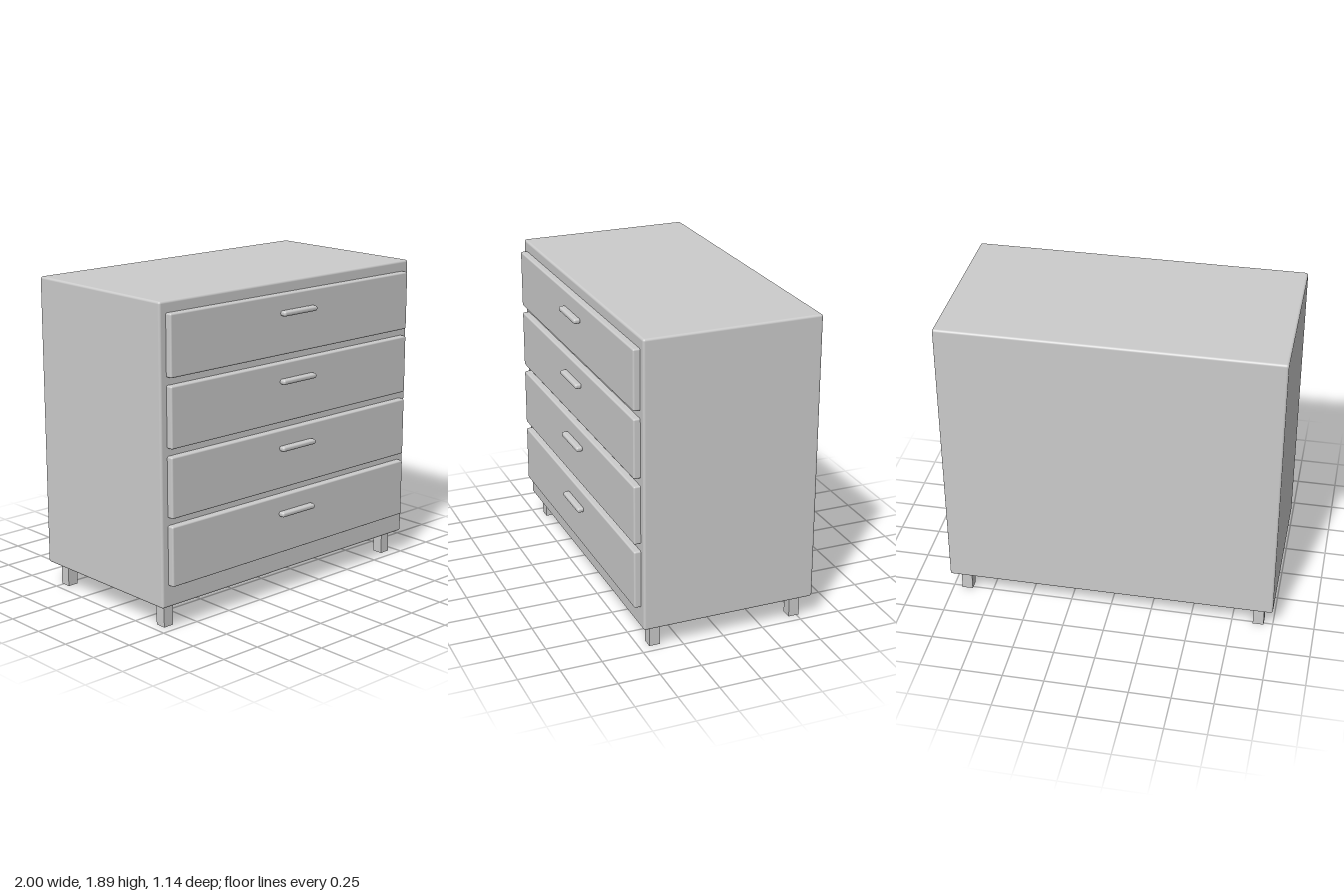
import * as THREE from 'three';
import { RoundedBoxGeometry } from 'three/addons/geometries/RoundedBoxGeometry.js';

const material = new THREE.MeshStandardMaterial({ color: 0xcccccc });

// Box given by its minimum and maximum corners, with optional rounded edges
function block(name, min, max, radius = 0) {
  const size = max.map((v, i) => v - min[i]);
  const geometry = radius
    ? new RoundedBoxGeometry(...size, 3, radius)
    : new THREE.BoxGeometry(...size);
  const mesh = new THREE.Mesh(geometry, material);
  mesh.name = name;
  mesh.position.set(...max.map((v, i) => (v + min[i]) / 2));
  return mesh;
}

export function createModel() {
  const model = new THREE.Group();
  model.name = 'chestOfDrawers';

  // Cabinet with softly rounded edges
  model.add(block('cabinet', [-1, 0.14, -0.57], [1, 1.89, 0.495], 0.014));

  // Four drawers, each with a bar handle above its middle
  for (let i = 0; i < 4; i++) {
    const y = 0.27 + i * 0.4;
    const drawer = new THREE.Group();
    drawer.name = `drawer${i + 1}`;
    drawer.add(
      block('drawerFront', [-0.955, y, 0.47], [0.955, y + 0.355, 0.535], 0.01),
      block('handle', [-0.134, y + 0.23, 0.53], [0.134, y + 0.261, 0.574], 0.013)
    );
    model.add(drawer);
  }

  // Four short square legs
  for (const [side, sx] of [['left', 1], ['right', -1]]) {
    for (const [end, z] of [['Front', 0.408], ['Back', -0.482]]) {
      const x = sx * 0.912, h = 0.033;
      model.add(block(`${side}${end}Leg`, [x - h, 0, z - h], [x + h, 0.145, z + h]));
    }
  }
  return model;
}
